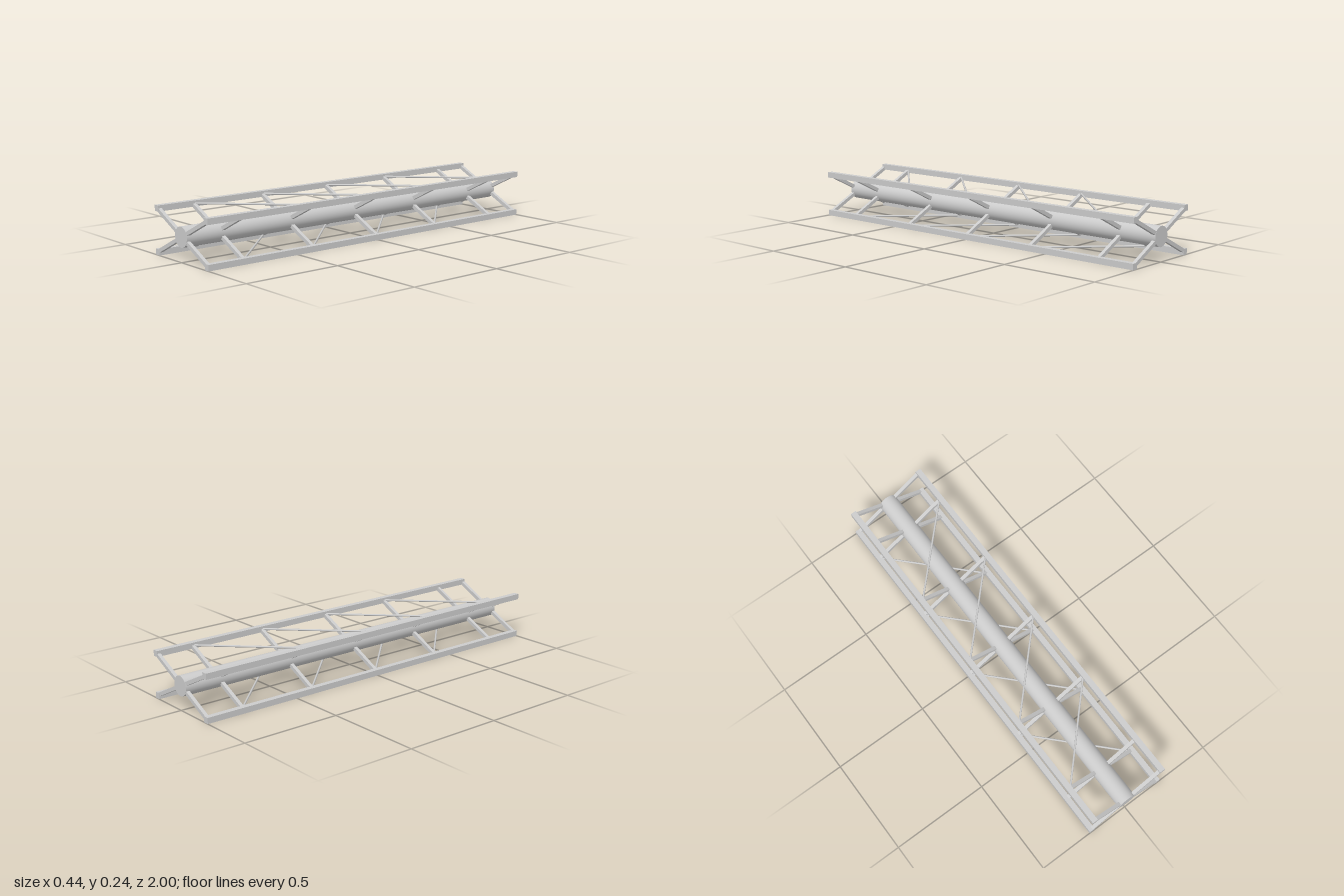
import * as THREE from 'three';

const MID_Y = 0.118;      // height of the core axis
const RAIL = 0.029;       // rail section
const RAIL_X = 0.203;     // rail offsets from the core axis
const RAIL_Y = 0.1035;
const LENGTH = 2;

export function createModel() {
  const model = new THREE.Group();
  model.name = 'trussBeam';
  const material = new THREE.MeshStandardMaterial({ color: 0xcccccc });

  const add = (geometry, name) => {
    const mesh = new THREE.Mesh(geometry, material);
    mesh.name = name;
    model.add(mesh);
    return mesh;
  };

  // Lays a mesh whose length runs along y between two points
  const span = (mesh, a, b) => {
    mesh.position.copy(a).add(b).multiplyScalar(0.5);
    mesh.quaternion.setFromUnitVectors(new THREE.Vector3(0, 1, 0), b.clone().sub(a).normalize());
  };

  // Central tube
  const core = add(new THREE.CylinderGeometry(0.049, 0.049, LENGTH, 40), 'coreTube');
  core.rotation.x = Math.PI / 2;
  core.position.y = MID_Y;

  // Corner rails and the spokes tying them to the core
  const spokeZ = [-0.99, -0.8, -0.4, 0, 0.4, 0.8, 0.99];
  for (const sx of [-1, 1]) {
    for (const sy of [-1, 1]) {
      const rail = add(new THREE.BoxGeometry(RAIL, RAIL, LENGTH), 'cornerRail');
      rail.position.set(sx * RAIL_X, MID_Y + sy * RAIL_Y, 0);

      for (const z of spokeZ) {
        const a = new THREE.Vector3(sx * 0.036, MID_Y + sy * 0.018, z);
        const b = new THREE.Vector3(sx * 0.196, MID_Y + sy * 0.098, z);
        span(add(new THREE.BoxGeometry(0.018, a.distanceTo(b), 0.018), 'spoke'), a, b);
      }
    }
  }

  // Diagonal braces, leaning opposite ways on the top and bottom faces
  for (const sy of [-1, 1]) {
    for (const z of [-0.6, -0.2, 0.2, 0.6]) {
      const y = MID_Y + sy * RAIL_Y;
      const a = new THREE.Vector3(-0.195, y, z + sy * 0.2);
      const b = new THREE.Vector3(0.195, y, z - sy * 0.2);
      span(add(new THREE.CylinderGeometry(0.005, 0.005, a.distanceTo(b), 12), 'diagonalBrace'), a, b);
    }
  }

  return model;
}
